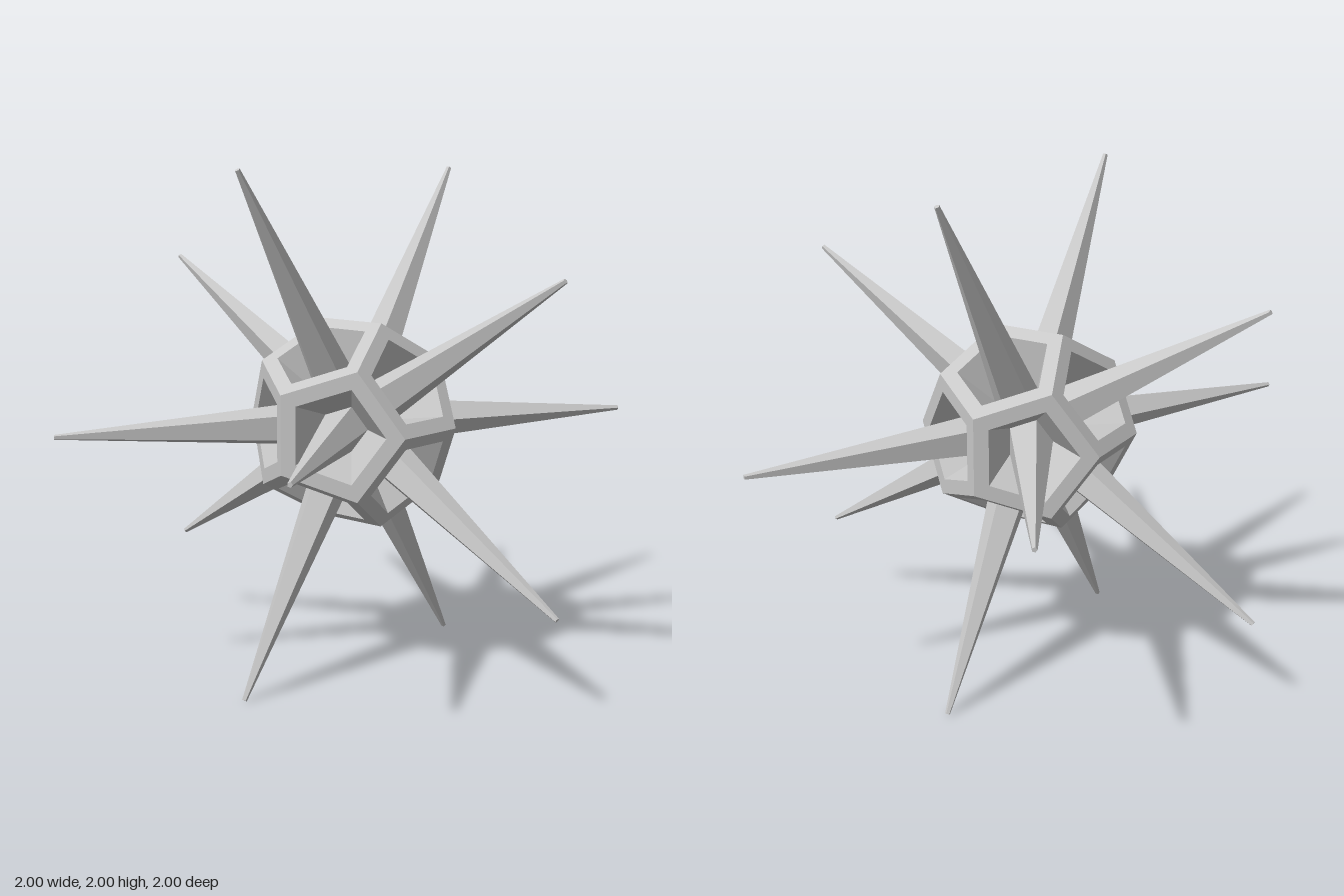
import * as THREE from 'three';

const PHI = (1 + Math.sqrt(5)) / 2;
const EDGE = 0.309;                  // edge of the dodecahedral core
const FACE_DIST = EDGE * 1.1135;     // centre to face
const FACE_R = EDGE * 0.8507;        // pentagon circumradius
const HOLE_R = FACE_R * 0.73;        // pentagonal opening
const SPIKE_START = 0.12, SPIKE_END = 1.169;

const faceted = (geometry) => {
  const flat = geometry.index ? geometry.toNonIndexed() : geometry;
  flat.computeVertexNormals();
  return flat;
};

// Pentagon with its first corner pointing to local +z once laid flat
const pentagon = (r) => Array.from({ length: 5 }, (_, i) => {
  const a = (i * Math.PI * 2) / 5;
  return new THREE.Vector2(r * Math.sin(a), -r * Math.cos(a));
});

export function createModel() {
  const model = new THREE.Group();
  model.name = 'spikedDodecahedron';
  const grey = new THREE.MeshStandardMaterial({ color: 0xc8c8c8 });
  grey.name = 'lightGrey';

  // Flat pentagonal rim around each opening
  const rimShape = new THREE.Shape(pentagon(FACE_R));
  rimShape.holes.push(new THREE.Path(pentagon(HOLE_R)));
  const rim = faceted(new THREE.ShapeGeometry(rimShape)
    .rotateX(-Math.PI / 2).translate(0, FACE_DIST, 0));

  // Inward-facing pit walls that run to the centre (mirrored to turn them inside out)
  const pit = faceted(new THREE.CylinderGeometry(HOLE_R, 0, FACE_DIST, 5, 1, true)
    .translate(0, FACE_DIST / 2, 0).scale(-1, 1, 1));

  // Long five-sided spike with a blunt tip
  const length = SPIKE_END - SPIKE_START;
  const spike = faceted(new THREE.CylinderGeometry(0.01, 0.096, length, 5)
    .translate(0, SPIKE_START + length / 2, 0));

  // Twelve face directions: sign pairs cycled through the three axes
  for (let axis = 0; axis < 3; axis++) {
    for (const s of [1, -1]) for (const t of [1, -1]) {
      const place = (a, b) => {
        const v = [0, 0, 0];
        v[axis] = a * s;
        v[(axis + 1) % 3] = b * t;
        return new THREE.Vector3(...v).normalize();
      };
      const up = place(PHI, 1);        // face normal
      const corner = place(-1, PHI);   // towards one corner of the face
      const side = new THREE.Vector3().crossVectors(up, corner);

      const face = new THREE.Group();
      face.name = 'spikedFace';
      face.quaternion.setFromRotationMatrix(new THREE.Matrix4().makeBasis(side, up, corner));
      face.position.y = 1;
      for (const [name, geometry] of [['rim', rim], ['pitWalls', pit], ['spike', spike]]) {
        const mesh = new THREE.Mesh(geometry, grey);
        mesh.name = name;
        face.add(mesh);
      }
      model.add(face);
    }
  }
  return model;
}
